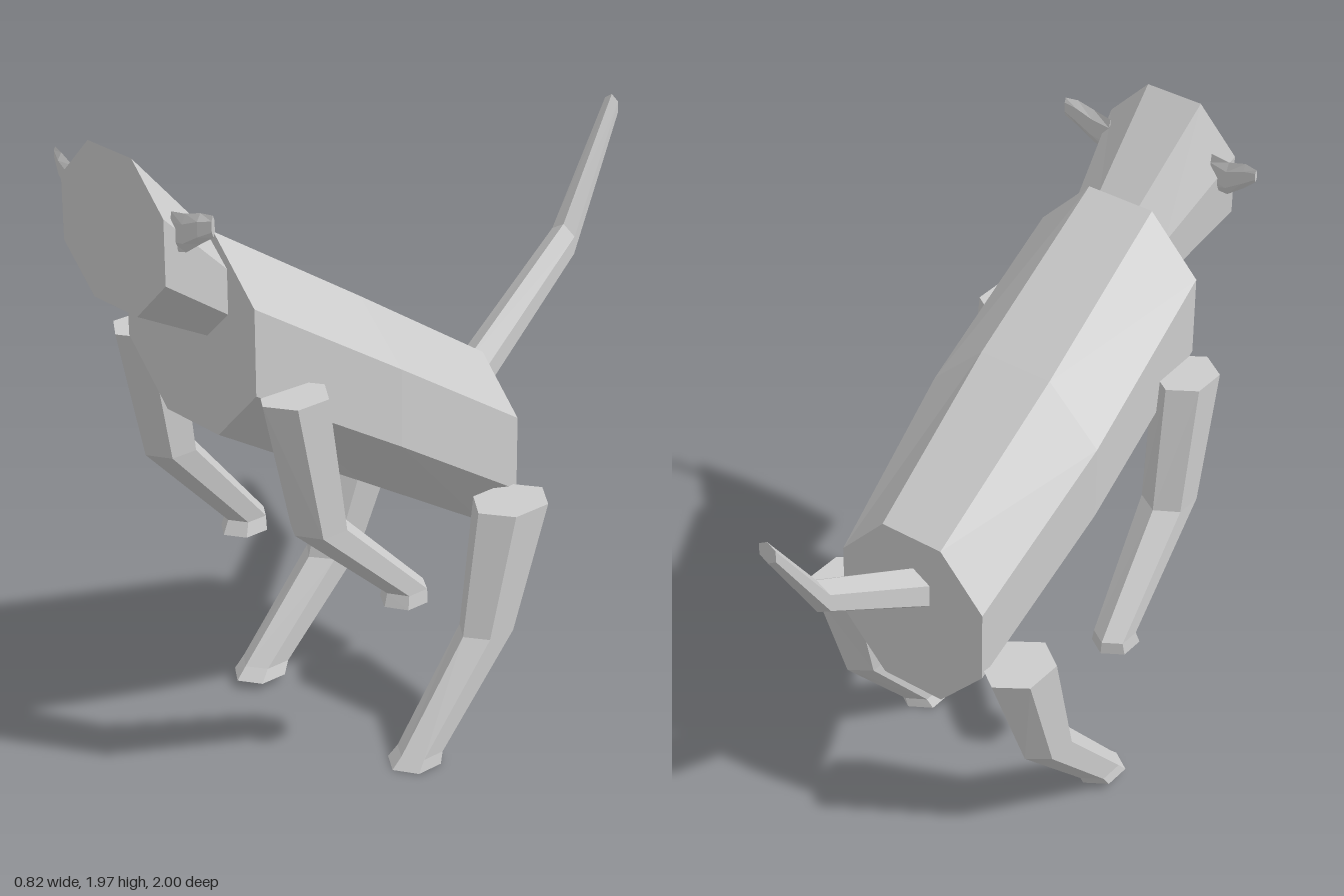
import * as THREE from 'three';

const grey = new THREE.MeshStandardMaterial({ color: 0xcccccc, flatShading: true });
grey.name = 'plain grey';

// Skin a closed low-poly tube over rings of points, with a cap at each end.
function loft(name, rings) {
  const pos = [];
  const n = rings[0].length;
  const tri = (a, b, c) => pos.push(...a, ...b, ...c);
  for (let r = 0; r < rings.length - 1; r++) {
    for (let i = 0; i < n; i++) {
      const j = (i + 1) % n;
      const [a, b] = [rings[r], rings[r + 1]];
      tri(a[i], a[j], b[j]);
      tri(a[i], b[j], b[i]);
    }
  }
  const last = rings[rings.length - 1];
  for (let i = 1; i < n - 1; i++) {
    tri(rings[0][0], rings[0][i + 1], rings[0][i]);
    tri(last[0], last[i], last[i + 1]);
  }
  // Turn the faces outwards if the enclosed volume is negative.
  let volume = 0;
  const [a, b, c] = [new THREE.Vector3(), new THREE.Vector3(), new THREE.Vector3()];
  for (let k = 0; k < pos.length; k += 9) {
    a.fromArray(pos, k); b.fromArray(pos, k + 3); c.fromArray(pos, k + 6);
    volume += a.dot(b.cross(c));
  }
  if (volume < 0) {
    for (let k = 0; k < pos.length; k += 9) {
      for (let m = 3; m < 6; m++) [pos[k + m], pos[k + m + 3]] = [pos[k + m + 3], pos[k + m]];
    }
  }
  const geometry = new THREE.BufferGeometry();
  geometry.setAttribute('position', new THREE.Float32BufferAttribute(pos, 3));
  geometry.computeVertexNormals();
  const mesh = new THREE.Mesh(geometry, grey);
  mesh.name = name;
  return mesh;
}

// Upright octagon: centre x, half width, half width of the flats, four heights.
const octagon = (z, x, w, f, [y0, y1, y2, y3]) => [
  [x - f, y3, z], [x + f, y3, z], [x + w, y2, z], [x + w, y1, z],
  [x + f, y0, z], [x - f, y0, z], [x - w, y1, z], [x - w, y2, z],
];

const HEX = [[0, 1], [1, 0.5], [1, -0.5], [0, -1], [-1, -0.5], [-1, 0.5]];

// Level hexagon for legs, given its extents in x and z.
const legRing = (side, y, x0, x1, z0, z1) => HEX.map(([u, v]) => [
  side * ((x0 + x1) / 2 + u * (x1 - x0) / 2), y, (z0 + z1) / 2 + v * (z1 - z0) / 2,
]);

export function createModel() {
  const model = new THREE.Group();
  model.name = 'animal';

  // Sloping torso, slightly wider in the middle
  model.add(loft('torso', [
    octagon(0.77, 0, 0.277, 0.112, [1.13, 1.3, 1.55, 1.72]),
    octagon(0.27, 0, 0.295, 0.122, [0.83, 1.0, 1.235, 1.4]),
    octagon(-0.22, -0.005, 0.255, 0.105, [0.53, 0.69, 0.92, 1.08]),
  ]));

  // Head flares forward to a flat face
  model.add(loft('head', [
    octagon(0.77, 0.003, 0.163, 0.07, [1.41, 1.5, 1.63, 1.72]),
    octagon(1.0, -0.018, 0.22, 0.093, [1.53, 1.655, 1.84, 1.97]),
  ]));

  // Thin ears: x, y, z, half height, half thickness
  const ears = {
    leftEar: [[0.17, 1.785, 0.95, 0.055, 0.004], [0.23, 1.798, 0.951, 0.053, 0.012],
      [0.285, 1.825, 0.945, 0.042, 0.012], [0.322, 1.838, 0.934, 0.03, 0.005]],
    rightEar: [[-0.19, 1.8, 0.95, 0.055, 0.004], [-0.25, 1.795, 0.951, 0.053, 0.012],
      [-0.31, 1.828, 0.945, 0.04, 0.012], [-0.355, 1.85, 0.932, 0.02, 0.005]],
  };
  for (const [name, rings] of Object.entries(ears)) {
    model.add(loft(name, rings.map(([x, y, z, h, t]) =>
      HEX.map(([u, v]) => [x, y + v * h, z + u * t]))));
  }

  // Raised tail: x, y, z, half width, half height
  const tail = [[-0.01, 0.9, -0.22, 0.06, 0.072], [-0.09, 1.235, -0.73, 0.048, 0.055],
    [-0.165, 1.587, -1.0, 0.028, 0.035]];
  model.add(loft('tail', tail.map(([x, y, z, w, h]) =>
    HEX.map(([u, v]) => [x + u * w, y + v * h, z]))));

  // Legs: y, inner x, outer x, back z, front z
  const legs = {
    frontLeftLeg: [1, [[1.29, 0.24, 0.402, 0.57, 0.785], [0.88, 0.26, 0.4, 0.52, 0.69],
      [0.595, 0.29, 0.4, 0.235, 0.37], [0.555, 0.285, 0.405, 0.235, 0.38]]],
    frontRightLeg: [-1, [[1.29, 0.24, 0.402, 0.57, 0.785], [0.885, 0.26, 0.4, 0.52, 0.69],
      [0.565, 0.3, 0.405, 0.245, 0.38], [0.523, 0.29, 0.41, 0.245, 0.4]]],
    rearLeftLeg: [1, [[0.712, 0.232, 0.412, -0.255, 0.0], [0.34, 0.272, 0.402, -0.115, 0.07],
      [0.035, 0.28, 0.395, 0.165, 0.31], [0, 0.265, 0.4, 0.17, 0.34]]],
    rearRightLeg: [-1, [[0.712, 0.232, 0.412, -0.255, 0.0], [0.345, 0.272, 0.402, -0.11, 0.085],
      [0.06, 0.28, 0.395, 0.18, 0.34], [0.025, 0.268, 0.4, 0.2, 0.375]]],
  };
  for (const [name, [side, rings]] of Object.entries(legs)) {
    model.add(loft(name, rings.map((ring) => legRing(side, ...ring))));
  }

  return model;
}
